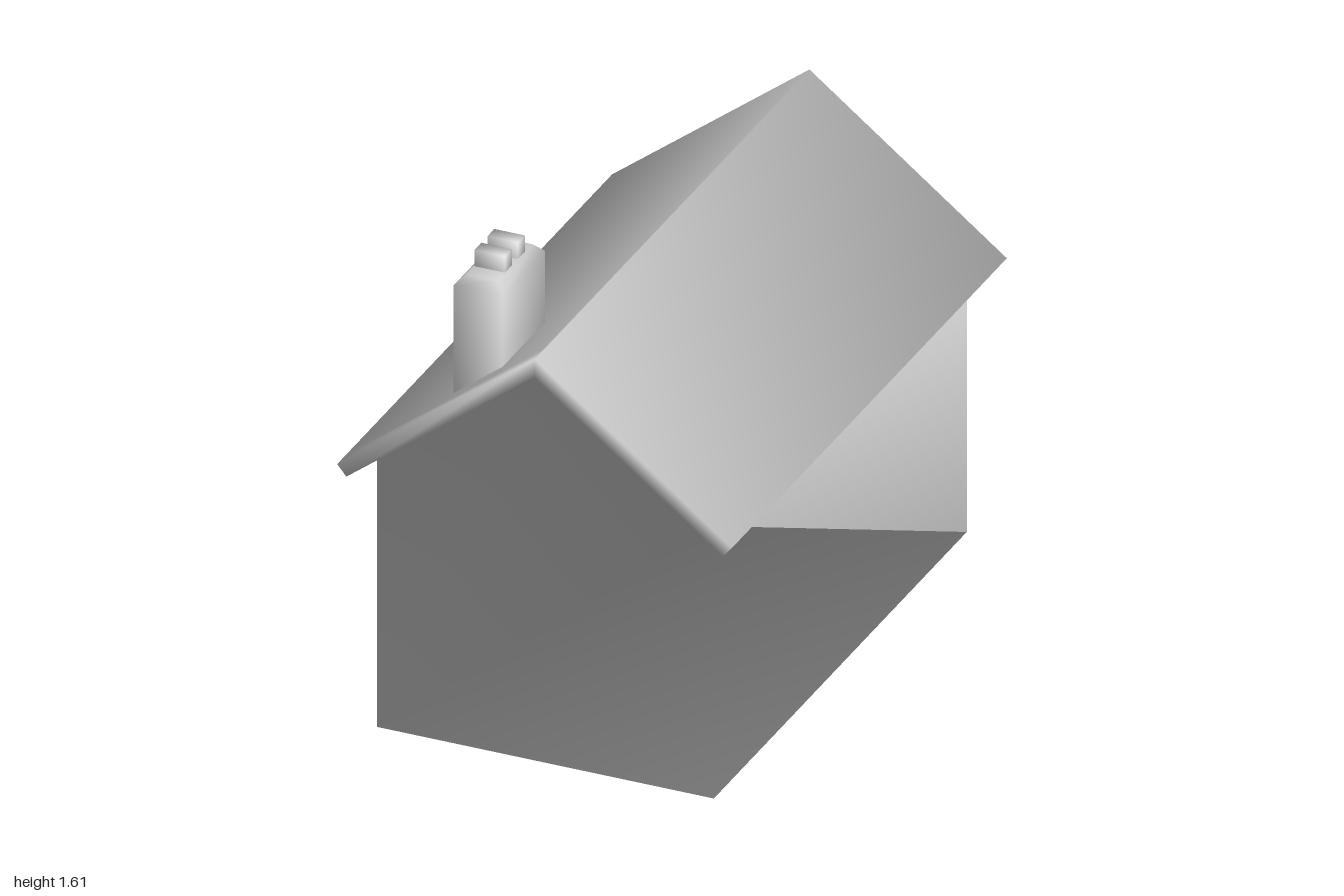
import * as THREE from 'three';

const material = new THREE.MeshStandardMaterial({ color: 0xcccccc });
const [WX, WZ] = [0.55, 0.92]; // half size of the walls
const RECESS = -0.04; // depth of panes and door behind the wall face
const soffitY = (x) => 1.345 - 0.769 * Math.abs(x);
const EAVE = soffitY(WX);
const PEAK = soffitY(0);
const DOOR = [0.12, 0, 0.46, 0.73];
const BACK_WINDOW = [-0.33, 0.335, -0.11, 0.665];
const SIDE_WINDOWS = [-0.365, 0.37].map((z) => [z - 0.17, 0.31, z + 0.17, 0.61]);

const v = (x, y, z) => new THREE.Vector3(x, y, z);

// A part is a list of triangle corners; a quad is split along a-c
function quad(part, a, b, c, d) {
  part.push(a, b, c, a, c, d);
}

// Flat outline with holes, placed by a function from (u, v, w) to space
function face(part, outline, holes, place) {
  const path = (points) => points.map(([x, y]) => new THREE.Vector2(x, y));
  const shape = new THREE.Shape(path(outline));
  shape.holes = holes.map((hole) => new THREE.Path(path(hole)));
  const geometry = new THREE.ShapeGeometry(shape);
  const p = geometry.attributes.position;
  for (const i of geometry.index.array) part.push(place(p.getX(i), p.getY(i), 0));
}

// Meshes whose normals are smoothed across all parts, weighted by corner angle
function smoothGroup(name, parts) {
  const normals = new Map();
  const key = (p) => [p.x, p.y, p.z].map((n) => Math.round(n * 1e4)).join();
  for (const corners of Object.values(parts)) {
    for (let i = 0; i < corners.length; i += 3) {
      const t = corners.slice(i, i + 3);
      const normal = new THREE.Triangle(...t).getNormal(v(0, 0, 0));
      t.forEach((p, k) => {
        const angle = t[(k + 1) % 3].clone().sub(p).angleTo(t[(k + 2) % 3].clone().sub(p));
        if (!normals.has(key(p))) normals.set(key(p), v(0, 0, 0));
        normals.get(key(p)).addScaledVector(normal, angle);
      });
    }
  }
  normals.forEach((n) => n.normalize());

  const group = new THREE.Group();
  group.name = name;
  for (const [partName, corners] of Object.entries(parts)) {
    const geometry = new THREE.BufferGeometry().setFromPoints(corners);
    const flat = corners.flatMap((p) => normals.get(key(p)).toArray());
    geometry.setAttribute('normal', new THREE.Float32BufferAttribute(flat, 3));
    const mesh = new THREE.Mesh(geometry, material);
    mesh.name = partName;
    group.add(mesh);
  }
  return group;
}

// Corners counter-clockwise from bottom right
const loop = ([x0, y0, x1, y1]) => [[x1, y0], [x1, y1], [x0, y1], [x0, y0]];

// Surround and recessed pane; a door has no sill
function opening(part, [x0, y0, x1, y1], border, proud, place, isDoor = false) {
  const outer = loop([x0, y0, x1, y1]);
  const inner = loop([x0 + border, isDoor ? y0 : y0 + border, x1 - border, y1 - border]);
  const at = ([x, y], w) => place(x, y, w);
  for (let i = 0; i < (isDoor ? 3 : 4); i++) {
    const [a, b] = [outer[i], outer[(i + 1) % 4]];
    const [c, d] = [inner[i], inner[(i + 1) % 4]];
    quad(part, at(a, 0), at(b, 0), at(b, proud), at(a, proud));
    quad(part, at(a, proud), at(b, proud), at(d, proud), at(c, proud));
    quad(part, at(c, proud), at(d, proud), at(d, RECESS), at(c, RECESS));
  }
  quad(part, ...inner.map((p) => at(p, RECESS)));
}

function buildWalls(parts) {
  const { frontWall, leftWall, backWall, rightWall, floor } = parts;
  const onBack = (a, b, w) => v(-a, b, -WZ - w);
  const onRight = (a, b, w) => v(-WX - w, b, a);

  // Plain front gable and left wall
  const peak = v(0, PEAK, WZ);
  quad(frontWall, v(-WX, 0, WZ), v(WX, 0, WZ), v(WX, EAVE, WZ), peak);
  frontWall.push(v(-WX, 0, WZ), peak, v(-WX, EAVE, WZ));
  quad(leftWall, v(WX, EAVE, WZ), v(WX, 0, WZ), v(WX, 0, -WZ), v(WX, EAVE, -WZ));

  // Back gable with door and window
  const [d0, , d1, top] = DOOR;
  face(backWall, [
    [-WX, 0], [d0, 0], [d0, top], [d1, top], [d1, 0],
    [WX, 0], [WX, EAVE], [0, PEAK], [-WX, EAVE],
  ], [loop(BACK_WINDOW)], onBack);
  opening(parts.door, DOOR, 0.05, 0.035, onBack, true);
  opening(parts.backWindow, BACK_WINDOW, 0.028, 0.022, onBack);

  // Right wall with two windows
  face(rightWall, [[-WZ, 0], [WZ, 0], [WZ, EAVE], [-WZ, EAVE]], SIDE_WINDOWS.map(loop), onRight);
  for (const pane of SIDE_WINDOWS) opening(parts.sideWindows, pane, 0.028, 0.028, onRight);

  // Floor, following the foot of the door surround
  const [zOut, zIn] = [-WZ - 0.035, -WZ - RECESS];
  face(floor, [
    [-WX, WZ], [-WX, -WZ], [-d1, -WZ], [-d1, zOut], [0.05 - d1, zOut], [0.05 - d1, zIn],
    [-d0 - 0.05, zIn], [-d0 - 0.05, zOut], [-d0, zOut], [-d0, -WZ], [WX, -WZ], [WX, WZ],
  ], [], (x, z) => v(x, 0, z));
}

function buildRoof({ roof, soffit }) {
  for (const s of [1, -1]) {
    // Mirrored quads keep their diagonal and face outwards
    const add = (part, ...points) => {
      const [a, b, c, d] = points.map(([x, y, z]) => v(s * x, y, z));
      if (s > 0) quad(part, a, b, c, d);
      else quad(part, a, d, c, b);
    };
    const ridge = (z) => [0, 1.405, z];
    const top = (z) => [0.645, 0.908, z];
    const under = (x, z) => [x, soffitY(x), z];
    const edge = 0.615;

    // Slopes and eave edges; the right slope has a narrow strip along the front
    const rows = s > 0 ? [1, -1] : [1, 0.93, -1];
    for (let i = 0; i + 1 < rows.length; i++) {
      const [f, b] = [rows[i], rows[i + 1]];
      add(roof, ridge(f), top(f), top(b), ridge(b));
      add(roof, top(f), under(edge, f), under(edge, b), top(b));
    }

    // Gable edges
    add(roof, ridge(1), under(0, 1), under(edge, 1), top(1));
    add(roof, ridge(-1), top(-1), under(edge, -1), under(0, -1));

    // Underside of the overhang, around the walls
    const [xs, zs] = [[0, WX, edge], [1, WZ, -WZ, -1]];
    for (let i = 0; i < 2; i++) {
      for (let j = 0; j < 3; j++) {
        if (i === 0 && j === 1) continue;
        const [x0, x1, f, b] = [xs[i], xs[i + 1], zs[j], zs[j + 1]];
        add(soffit, under(x0, f), under(x0, b), under(x1, b), under(x1, f));
      }
    }
  }
}

// Closed-top block through rings of [y, half width, half depth]
function tower(part, cx, cz, rings) {
  const loops = rings.map(([y, hx, hz]) =>
    [[1, 1], [1, -1], [-1, -1], [-1, 1]].map(([x, z]) => v(cx + x * hx, y, cz + z * hz)));
  for (let r = 0; r + 1 < loops.length; r++) {
    for (let i = 0; i < 4; i++) {
      const j = (i + 1) % 4;
      quad(part, loops[r][i], loops[r][j], loops[r + 1][j], loops[r + 1][i]);
    }
  }
  quad(part, ...loops.at(-1));
}

export function createModel() {
  const house = new THREE.Group();
  house.name = 'house';

  const shell = {
    frontWall: [], leftWall: [], backWall: [], rightWall: [], floor: [],
    door: [], backWindow: [], sideWindows: [], roof: [], soffit: [],
  };
  buildWalls(shell);
  buildRoof(shell);
  house.add(smoothGroup('shell', shell));

  // Chimney with chamfered top and two flues
  const chimney = { stack: [], flues: [] };
  tower(chimney.stack, -0.243, 0.715, [[1.13, 0.08, 0.155], [1.52, 0.08, 0.155], [1.55, 0.052, 0.127]]);
  for (const z of [0.665, 0.76]) {
    tower(chimney.flues, -0.243, z, [[1.545, 0.05, 0.025], [1.605, 0.05, 0.025]]);
  }
  house.add(smoothGroup('chimney', chimney));
  return house;
}
